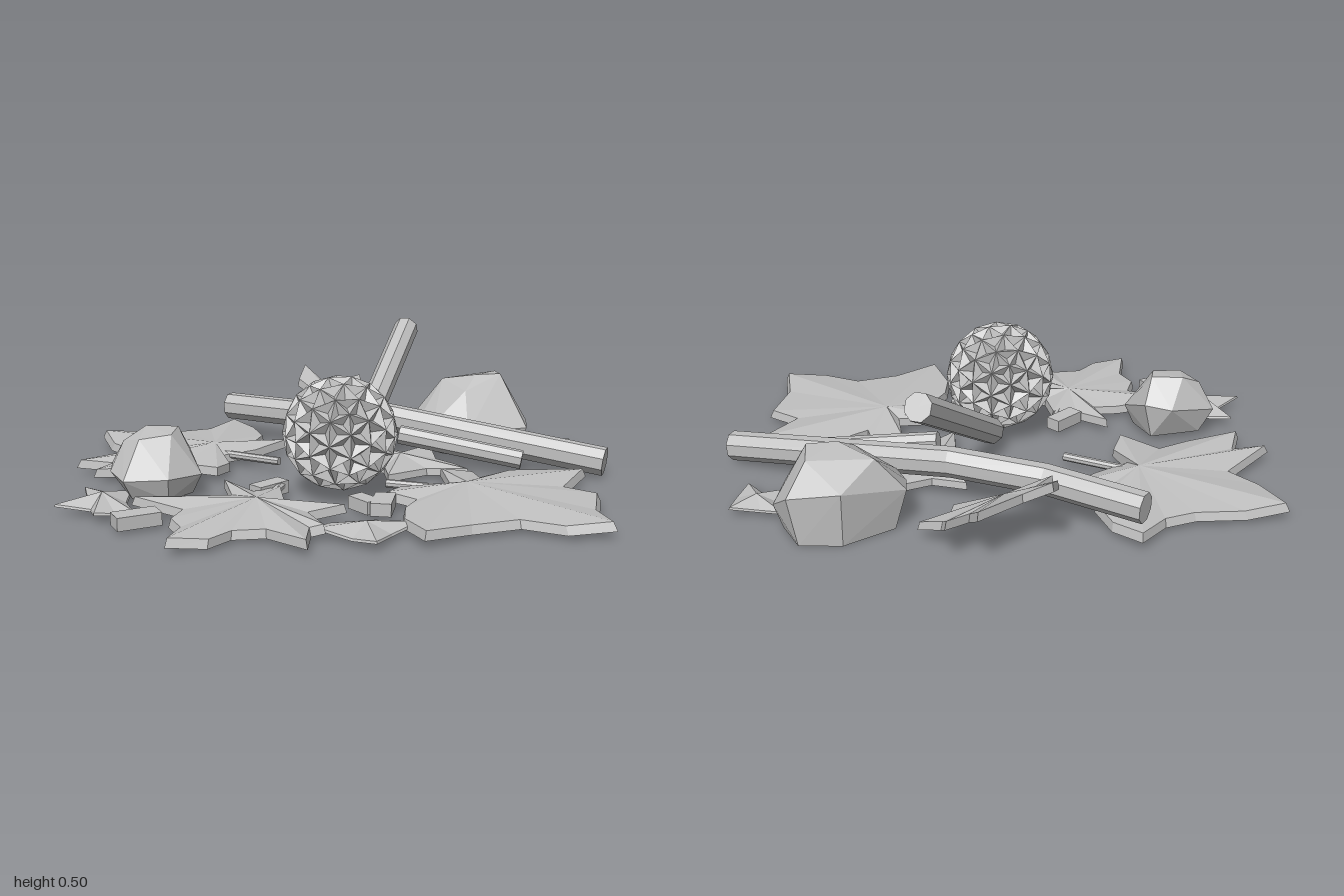
import * as THREE from 'three';
import { ConvexGeometry } from 'three/addons/geometries/ConvexGeometry.js';

const grey = new THREE.MeshStandardMaterial({ color: 0xc0c0c0, flatShading: true });
grey.name = 'pale grey';

function fromTriangles(tris) {
  const g = new THREE.BufferGeometry();
  g.setAttribute('position', new THREE.Float32BufferAttribute(tris.flat(2), 3));
  g.computeVertexNormals();
  return g;
}

function part(name, geometry) {
  const m = new THREE.Mesh(geometry, grey);
  m.name = name;
  return m;
}

// Leaf: a fan with raised centre, bevelled rim and lifted lobe tips.
// outline holds x, z pairs; tilt(x, z) gives the height of the leaf's base.
function leaf(name, [cx, cz], flat, tilt, thick = 0.03, dome = 0.03) {
  let pts = [];
  for (let i = 0; i < flat.length; i += 2) pts.push([flat[i], flat[i + 1]]);
  const n = pts.length;
  const area = pts.reduce((s, p, i) => {
    const q = pts[(i + 1) % n];
    return s + p[0] * q[1] - q[0] * p[1];
  }, 0);
  if (area > 0) pts.reverse();
  const far = pts.map(([x, z]) => Math.hypot(x - cx, z - cz));
  const low = pts.map(([x, z], i) => {
    const isTip = far[i] > far[(i + 1) % n] && far[i] > far[(i + n - 1) % n];
    return [x, tilt(x, z) + (isTip ? 0.012 : 0), z];
  });
  const high = low.map(([x, y, z]) => [cx + (x - cx) * 0.97, y + thick, cz + (z - cz) * 0.97]);
  const base = tilt(cx, cz);
  const top = [cx, base + thick + dome, cz], bottom = [cx, base + dome * 0.5, cz];
  const tris = [];
  for (let i = 0; i < n; i++) {
    const j = (i + 1) % n;
    tris.push([top, high[i], high[j]], [bottom, low[j], low[i]]);
    tris.push([low[i], low[j], high[j]], [low[i], high[j], high[i]]);
  }
  return part(name, fromTriangles(tris));
}

// Branch: an eight-sided, squarish section swept along a bent path.
function branch(name, path, w, h) {
  const P = path.map(p => new THREE.Vector3(...p));
  const sides = 8;
  const rings = P.map((p, k) => {
    const d = P[Math.min(k + 1, P.length - 1)].clone().sub(P[Math.max(k - 1, 0)]).normalize();
    const s = d.clone().cross(new THREE.Vector3(0, 1, 0)).normalize();
    const u = s.clone().cross(d);
    return Array.from({ length: sides }, (_, i) => {
      const a = (i + 0.5) / sides * Math.PI * 2;
      return p.clone().addScaledVector(s, Math.cos(a) * w * 1.08)
        .addScaledVector(u, Math.sin(a) * h * 1.08).toArray();
    });
  });
  const tris = [];
  const last = rings[rings.length - 1];
  for (let i = 0; i < sides; i++) {
    const j = (i + 1) % sides;
    for (let k = 0; k + 1 < rings.length; k++) {
      const a = rings[k], b = rings[k + 1];
      tris.push([a[i], b[j], a[j]], [a[i], b[i], b[j]]);
    }
    tris.push([P[0].toArray(), rings[0][i], rings[0][j]]);
    tris.push([P[P.length - 1].toArray(), last[j], last[i]]);
  }
  return part(name, fromTriangles(tris));
}

const rock = (name, pts) => part(name, new ConvexGeometry(pts.map(p => new THREE.Vector3(...p))));

// Seed ball: every face of a divided icosahedron is pushed in at its middle.
function spikyBall(radius, inner) {
  const pos = new THREE.IcosahedronGeometry(radius, 2).getAttribute('position');
  const tris = [];
  for (let i = 0; i < pos.count; i += 3) {
    const [a, b, c] = [0, 1, 2].map(k => new THREE.Vector3().fromBufferAttribute(pos, i + k));
    const m = a.clone().add(b).add(c).setLength(inner);
    for (const [p, q] of [[a, b], [b, c], [c, a]]) tris.push([p.toArray(), q.toArray(), m.toArray()]);
  }
  return fromTriangles(tris);
}

export function createModel() {
  const g = new THREE.Group();
  g.name = 'forestFloorLitter';
  const level = y => () => y;

  const ball = part('seedBall', spikyBall(0.2, 0.168));
  ball.position.set(-0.025, 0.23, 0.195);
  g.add(ball);

  // Large lobed leaves
  g.add(leaf('backRightLeaf', [-0.41, -0.34], [
    -.12, -.40, -.235, -.455, -.20, -.53, -.22, -.67, -.29, -.78, -.40, -.68, -.51, -.66,
    -.68, -.685, -.83, -.68, -.80, -.51, -.73, -.39, -.93, -.24, -.81, -.22, -.87, -.10,
    -.67, -.12, -.545, -.16, -.43, -.04, -.375, -.135, -.395, -.25, -.26, -.305], level(0.015)));
  g.add(leaf('frontLeftLeaf', [0.39, 0.34], [
    .875, .20, .74, .365, .83, .46, .755, .64, .75, .805, .595, .785, .47, .695, .30, .72,
    .13, .785, .10, .615, .13, .50, .19, .42, .10, .35, .17, .26, .35, .28, .36, .10,
    .475, .12, .48, .20, .62, .125], level(0.015)));
  g.add(leaf('frontRightLeaf', [-0.34, 0.38], [
    -.42, .09, -.33, .21, -.235, .21, -.24, .36, -.05, .455, -.18, .48, -.155, .65, -.20, .64,
    -.235, .79, -.34, .63, -.45, .625, -.53, .695, -.66, .695, -.61, .56, -.635, .465,
    -.59, .375, -.745, .24, -.50, .23, -.41, .24], level(0.012)));

  // Smaller lobed leaves at the back and under the branches
  g.add(leaf('raisedBackLeaf', [0.12, -0.59], [
    .005, -.785, .085, -.71, .25, -.82, .255, -.70, .34, -.75, .335, -.64, .40, -.56, .30, -.55,
    .27, -.465, .14, -.51, .07, -.52, -.04, -.60, .03, -.64, -.035, -.695],
  (x, z) => Math.max(0.02, 0.11 - (z + 0.59) * 0.45 - (x - 0.12) * 0.3), 0.03, 0.01));
  g.add(leaf('middleLeaf', [0.26, -0.1], [
    .19, -.30, .30, -.22, .42, -.27, .40, -.10, .45, -.02, .47, .10, .33, .03, .16, .13,
    .18, -.02, .10, -.10, .18, -.16], level(0.01), 0.025));

  // Little folded leaves
  g.add(leaf('sideLeaflet', [0.9, -0.24], [
    .82, -.36, .89, -.31, .995, -.29, .97, -.20, .925, -.12, .88, -.18, .79, -.19, .84, -.25],
  level(0.015), 0.008, 0.03));
  g.add(leaf('rightLeaflet', [-0.84, 0.21], [
    -.90, .05, -.81, .10, -.74, .12, -.76, .22, -.74, .36, -.80, .34, -.87, .36, -.88, .28,
    -1, .24, -.89, .17], level(0.02), 0.008, 0.04));
  g.add(leaf('frontLeaflet', [-0.02, 0.63], [
    -.18, .615, -.13, .54, .03, .535, .155, .615, .05, .69, -.02, .785, -.085, .71],
  level(0.015), 0.008, 0.03));

  // Branches
  g.add(branch('longBranch', [[.97, .06, .14], [.25, .15, -.33], [-.04, .135, -.49], [-.31, .125, -.73]], 0.046, 0.05));
  g.add(branch('leaningBranch', [[.385, .46, -.55], [.04, .08, .03]], 0.044, 0.046));
  g.add(branch('shortBranch', [[.26, .13, -.12], [.68, .06, .06]], 0.03, 0.033));

  // Leaf stems and broken twigs
  g.add(branch('backRightStem', [[-.40, .04, -.31], [-.19, .04, -.15]], 0.014, 0.014));
  g.add(branch('frontLeftStem', [[.38, .04, .33], [.14, .04, .20]], 0.014, 0.014));
  g.add(branch('frontRightStem', [[-.33, .04, .37], [-.22, .04, .15]], 0.014, 0.014));
  const twigs = [[-.735, .425, .15, .075, .28], [.08, .42, .07, .13, -.35], [.02, .40, .06, .1, .5], [-.27, .17, .13, .06, .6]];
  for (const [x, z, w, d, turn] of twigs) {
    const t = part('twigPiece', new THREE.BoxGeometry(w, 0.045, d));
    t.position.set(x, 0.035, z);
    t.rotation.y = turn;
    g.add(t);
  }

  // Rocks
  g.add(rock('largeRock', [
    [.46, 0, -.48], [.46, 0, -.30], [.56, 0, -.22], [.76, 0, -.25], [.82, 0, -.40], [.78, 0, -.53], [.64, 0, -.56],
    [.41, .13, -.39], [.43, .12, -.28], [.55, .10, -.20], [.80, .10, -.245], [.85, .09, -.40],
    [.81, .17, -.53], [.64, .19, -.575], [.42, .14, -.48],
    [.52, .26, -.48], [.63, .29, -.385], [.73, .29, -.385], [.74, .28, -.49], [.57, .24, -.32]]));
  g.add(rock('smallRock', [
    [-.75, .02, .0], [-.74, .02, .16], [-.62, .02, .20], [-.53, .02, .12], [-.56, .02, -.01],
    [-.80, .11, -.01], [-.81, .10, .08], [-.77, .09, .19], [-.62, .10, .23], [-.50, .09, .14],
    [-.53, .15, -.015], [-.62, .14, -.06],
    [-.76, .20, .05], [-.68, .24, .01], [-.57, .24, .04], [-.60, .23, .12], [-.71, .22, .13]]));

  return g;
}
